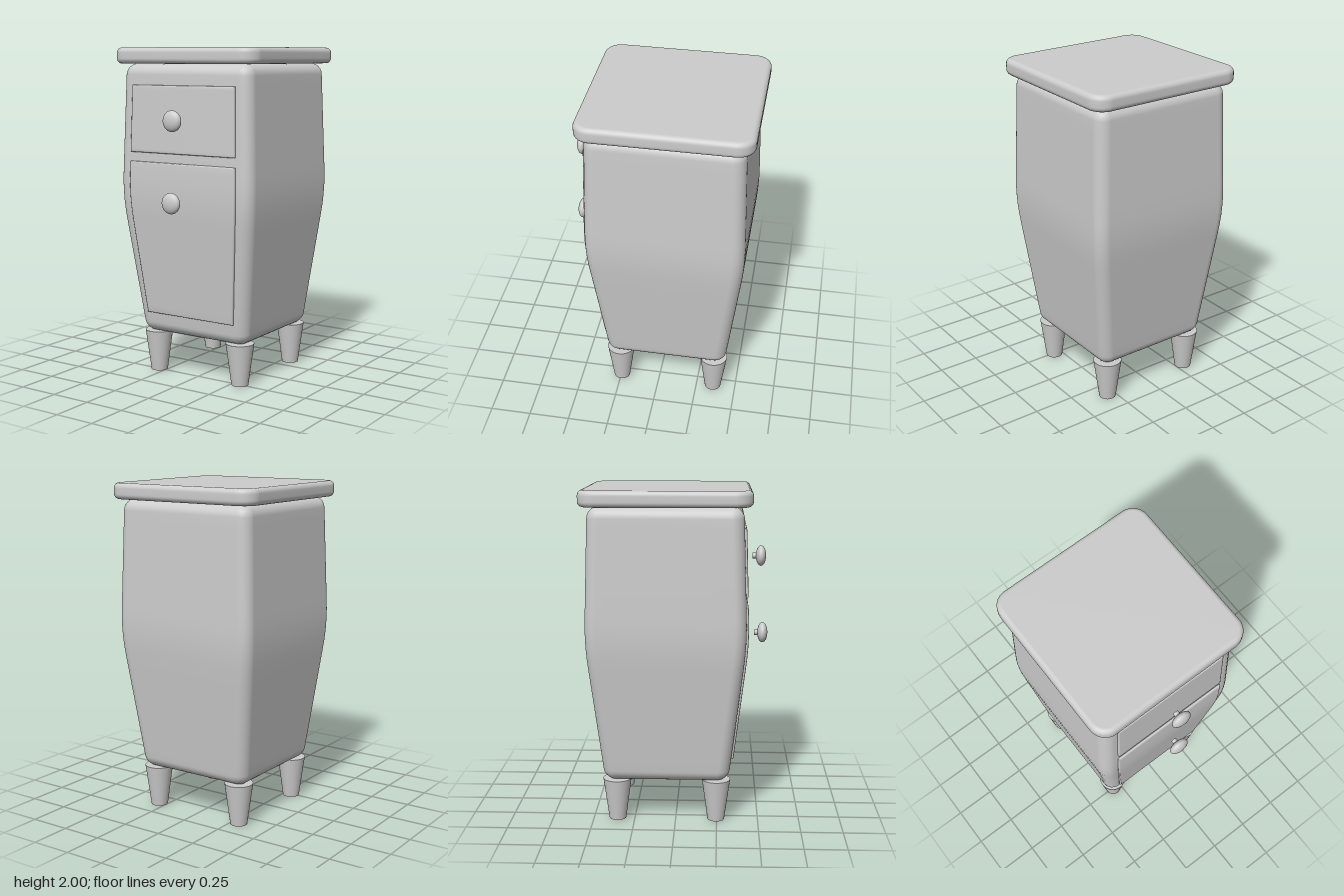
import * as THREE from 'three';

const CZ = -0.055; // cabinet centre in z; the knobs stand out in front

// Skins a grid of points: rows of equal length, optionally closed around each row
function skin(rows, closed) {
  const n = rows[0].length, index = [];
  for (let i = 0; i < rows.length - 1; i++) {
    for (let j = 0; j < (closed ? n : n - 1); j++) {
      const k = (j + 1) % n;
      const a = i * n + j, b = i * n + k, c = a + n, d = b + n;
      index.push(a, d, b, a, c, d);
    }
  }
  const g = new THREE.BufferGeometry();
  g.setAttribute('position', new THREE.Float32BufferAttribute(rows.flat(2), 3));
  g.setIndex(index);
  g.computeVertexNormals();
  return g;
}

// Rounded square at height y, running counter-clockwise seen from below
function ring(half, r, y) {
  const pts = [], c = half - r;
  [[1, 1], [-1, 1], [-1, -1], [1, -1]].forEach(([sx, sz], q) => {
    for (let i = 0; i <= 8; i++) {
      const a = (q + i / 8) * Math.PI / 2;
      pts.push([sx * c + r * Math.cos(a), y, sz * c + r * Math.sin(a) + CZ]);
    }
  });
  return pts;
}

// Upright rounded-square solid with filleted top and bottom edges
function roundedColumn(y0, y1, halfAt, corner, fillet, steps) {
  const levels = [];
  for (let i = 0; i <= 6; i++) {
    const a = i / 6 * Math.PI / 2;
    levels.push([y0 + fillet * (1 - Math.cos(a)), fillet * (1 - Math.sin(a))]);
  }
  const top = levels.map(([y, inset]) => [y1 - (y - y0), inset]).reverse();
  for (let i = 1; i < steps; i++) {
    levels.push([y0 + fillet + (y1 - y0 - 2 * fillet) * i / steps, 0]);
  }
  levels.push(...top);
  const rows = levels.map(([y, inset]) =>
    ring(halfAt(y) - inset, Math.max(corner - inset, 0.004), y));
  const point = y => rows[0].map(() => [0, y, CZ]);
  return skin([point(y0), ...rows, point(y1)], true);
}

// Half width of the bulging body: two slopes blended near the waist
function bodyHalf(y) {
  const a = 0.374 + 0.1165 * (y - 0.255), b = 0.474 - 0.0317 * (y - 1.114), k = 0.02;
  const h = Math.max(k - Math.abs(a - b), 0) / k;
  return Math.min(a, b) - h * h * k / 4;
}

// Drawer front that follows the curve of the body, with a small bevel
function drawerFront(y0, y1) {
  const depth = 0.014, base = -0.02, b = 0.008, levels = [];
  levels.push([y0, base, 0], [y0, depth - b, 0], [y0 + b * 0.3, depth - b * 0.3, b * 0.3]);
  for (let i = 0; i <= 24; i++) levels.push([y0 + b + (y1 - y0 - 2 * b) * i / 24, depth, b]);
  levels.push([y1 - b * 0.3, depth - b * 0.3, b * 0.3], [y1, depth - b, 0], [y1, base, 0]);
  const rows = levels.map(([y, d]) => {
    const w = bodyHalf(y) * 0.8, z = bodyHalf(y) + CZ;
    const side = [[w, base], [w, Math.min(d, depth - b)],
      [w - b * 0.3, Math.min(d, depth - b * 0.3)], [w - b, d]];
    const left = side.map(([x, e]) => [x, y, z + e]);
    const right = side.map(([x, e]) => [-x, y, z + e]).reverse();
    return [...left, ...right];
  });
  return skin(rows, false);
}

export function createModel() {
  const group = new THREE.Group();
  const paint = new THREE.MeshStandardMaterial({ color: 0xcccccc });
  paint.name = 'light grey';
  const add = (name, geometry, x = 0, y = 0, z = 0) => {
    const mesh = new THREE.Mesh(geometry, paint);
    mesh.name = name;
    mesh.position.set(x, y, z);
    group.add(mesh);
    return mesh;
  };

  // Body and top
  add('body', roundedColumn(0.255, 1.905, bodyHalf, 0.07, 0.065, 24));
  add('top', roundedColumn(1.905, 2, () => 0.5, 0.1, 0.03, 2));

  // Drawer fronts
  add('upperDrawer', drawerFront(1.38, 1.78));
  add('lowerDrawer', drawerFront(0.385, 1.325));

  // Knobs: flattened ball on a short stem
  for (const [name, y, z] of [['upperKnob', 1.58, 0.506], ['lowerKnob', 1.105, 0.522]]) {
    add(name, new THREE.SphereGeometry(0.062, 32, 20), 0, y, z).scale.z = 0.5;
    const stem = new THREE.CylinderGeometry(0.017, 0.017, 0.04, 20);
    add(name + 'Stem', stem.rotateX(Math.PI / 2), 0, y, z - 0.031);
  }

  // Tapered legs
  for (const x of [-0.3, 0.3]) {
    for (const z of [-0.3, 0.3]) {
      const name = (z > 0 ? 'front' : 'back') + (x > 0 ? 'Left' : 'Right') + 'Leg';
      add(name, new THREE.CylinderGeometry(0.086, 0.051, 0.257, 32), x, 0.1285, z + CZ);
    }
  }
  return group;
}
